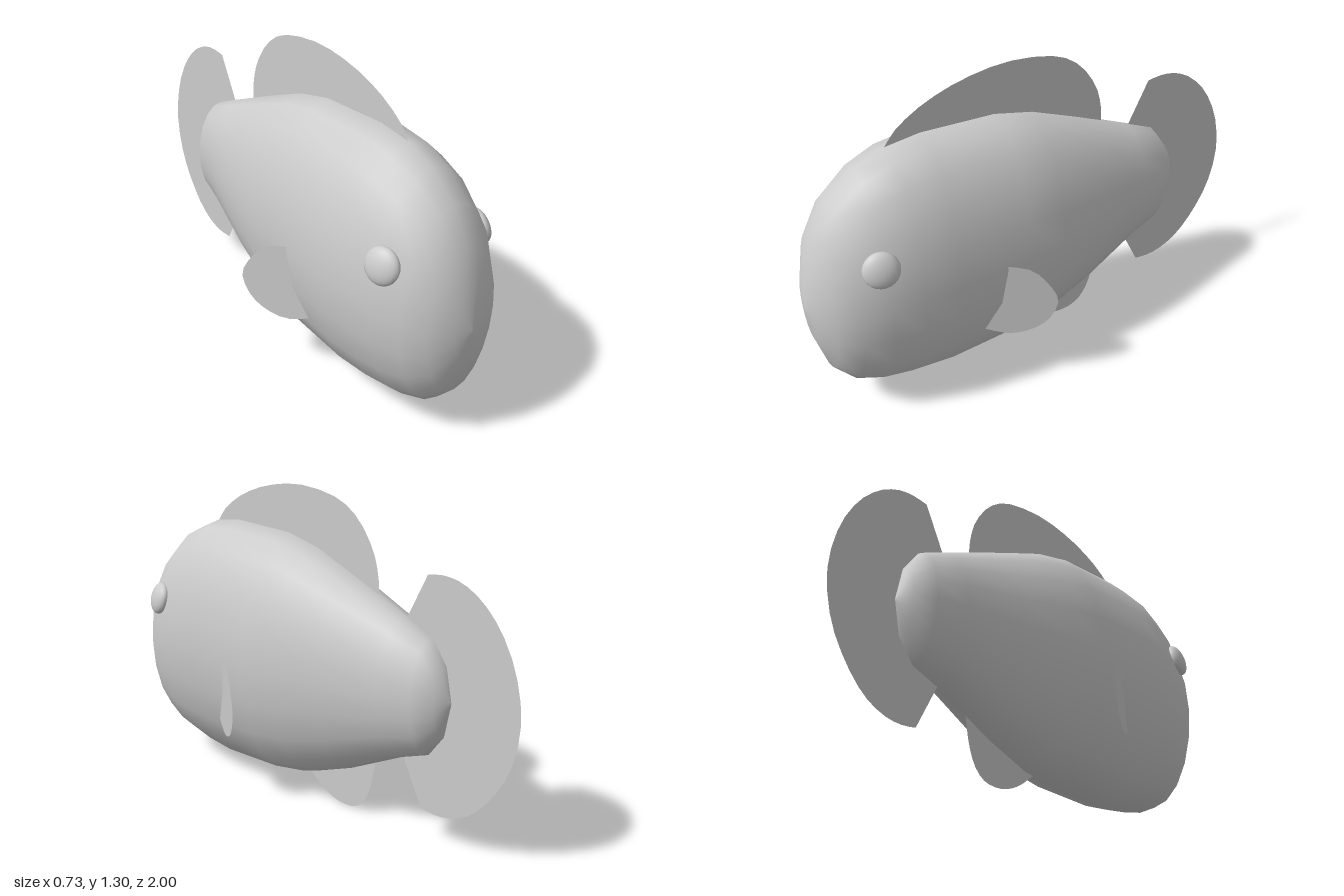
import * as THREE from 'three';

const SIDES = 20;
const ASPECT = 0.528; // body width / body height

// Body stations from nose to tail: [z, top y, bottom y]
const STATIONS = [
  [1.0, 0.521, 0.519], [0.985, 0.665, 0.38], [0.94, 0.83, 0.225], [0.86, 0.96, 0.135],
  [0.75, 1.05, 0.09], [0.63, 1.098, 0.068], [0.48, 1.115, 0.055], [0.17, 1.1, 0.07],
  [0.0, 1.06, 0.1], [-0.2, 0.98, 0.175], [-0.47, 0.866, 0.305], [-0.6, 0.81, 0.352],
  [-0.67, 0.715, 0.443], [-0.698, 0.581, 0.579],
];

function bodyGeometry() {
  const pos = [], index = [];
  STATIONS.forEach(([z, top, bottom], i) => {
    const mid = (top + bottom) / 2, r = (top - bottom) / 2;
    for (let j = 0; j < SIDES; j++) {
      const a = (j / SIDES) * Math.PI * 2;
      pos.push(Math.cos(a) * r * ASPECT, mid + Math.sin(a) * r, z);
      if (i === STATIONS.length - 1) continue;
      const k = (j + 1) % SIDES;
      const p = i * SIDES + j, q = i * SIDES + k;
      index.push(p, p + SIDES, q, q, p + SIDES, q + SIDES);
    }
  });
  const geo = new THREE.BufferGeometry();
  geo.setAttribute('position', new THREE.Float32BufferAttribute(pos, 3));
  geo.setIndex(index);
  geo.computeVertexNormals();
  return geo;
}

// Flat fin in the z-y plane: a curved outer edge closed by straight root points
function finGeometry(edge, root) {
  const v = edge.map(([z, y]) => new THREE.Vector2(z, y));
  const shape = new THREE.Shape();
  shape.moveTo(v[0].x, v[0].y);
  shape.splineThru(v.slice(1));
  root.forEach(([z, y]) => shape.lineTo(z, y));
  shape.closePath();
  return new THREE.ShapeGeometry(shape, 2).rotateY(-Math.PI / 2);
}

export function createModel() {
  const model = new THREE.Group();
  const skin = new THREE.MeshStandardMaterial({ color: 0xcccccc });
  const finSkin = new THREE.MeshStandardMaterial({ color: 0xcccccc, side: THREE.DoubleSide });
  const add = (name, geo, mat) => {
    const mesh = new THREE.Mesh(geo, mat);
    mesh.name = name;
    model.add(mesh);
    return mesh;
  };

  add('body', bodyGeometry(), skin);

  // Fins on the centre line
  add('dorsalFin', finGeometry(
    [[0.63, 1.09], [0.57, 1.16], [0.45, 1.23], [0.29, 1.28], [0.1, 1.3], [-0.1, 1.27],
      [-0.22, 1.2], [-0.3, 1.09], [-0.33, 0.99], [-0.335, 0.91]],
    [[-0.3, 0.8], [0.5, 0.95]]), finSkin);
  add('tailFin', finGeometry(
    [[-0.57, 1.04], [-0.64, 1.047], [-0.72, 1.034], [-0.81, 0.985], [-0.9, 0.89], [-0.97, 0.75],
      [-1.0, 0.58], [-0.97, 0.41], [-0.9, 0.28], [-0.81, 0.18], [-0.72, 0.132],
      [-0.64, 0.118], [-0.57, 0.125]],
    [[-0.47, 0.32], [-0.47, 0.85]]), finSkin);
  add('analFin', finGeometry(
    [[0.05, 0.1], [-0.02, 0.045], [-0.09, 0.012], [-0.16, 0.001], [-0.23, 0.015],
      [-0.28, 0.065], [-0.31, 0.14], [-0.33, 0.24]],
    [[-0.3, 0.36], [0.0, 0.25]]), finSkin);

  for (const side of [1, -1]) {
    const label = side > 0 ? 'left' : 'right';

    // Side fin, slanting outward toward the back
    const fin = finGeometry(
      [[0.28, 0.6], [0.2, 0.575], [0.14, 0.5], [0.11, 0.42], [0.14, 0.335], [0.2, 0.285],
        [0.28, 0.268], [0.37, 0.3]],
      [[0.4, 0.36], [0.36, 0.55]]);
    const p = fin.attributes.position;
    for (let i = 0; i < p.count; i++) p.setX(i, side * (0.28 - 0.53 * (p.getZ(i) - 0.27)));
    fin.computeVertexNormals();
    add(label + 'SideFin', fin, finSkin);

    // Flattened eye lying along the head surface
    const eye = add(label + 'Eye', new THREE.SphereGeometry(0.07, 20, 14), skin);
    eye.scale.set(1, 1, 0.47);
    eye.position.set(side * 0.228, 0.757, 0.773);
    eye.lookAt(eye.position.clone().add(new THREE.Vector3(side, 0.28, 0.28)));
  }
  return model;
}
